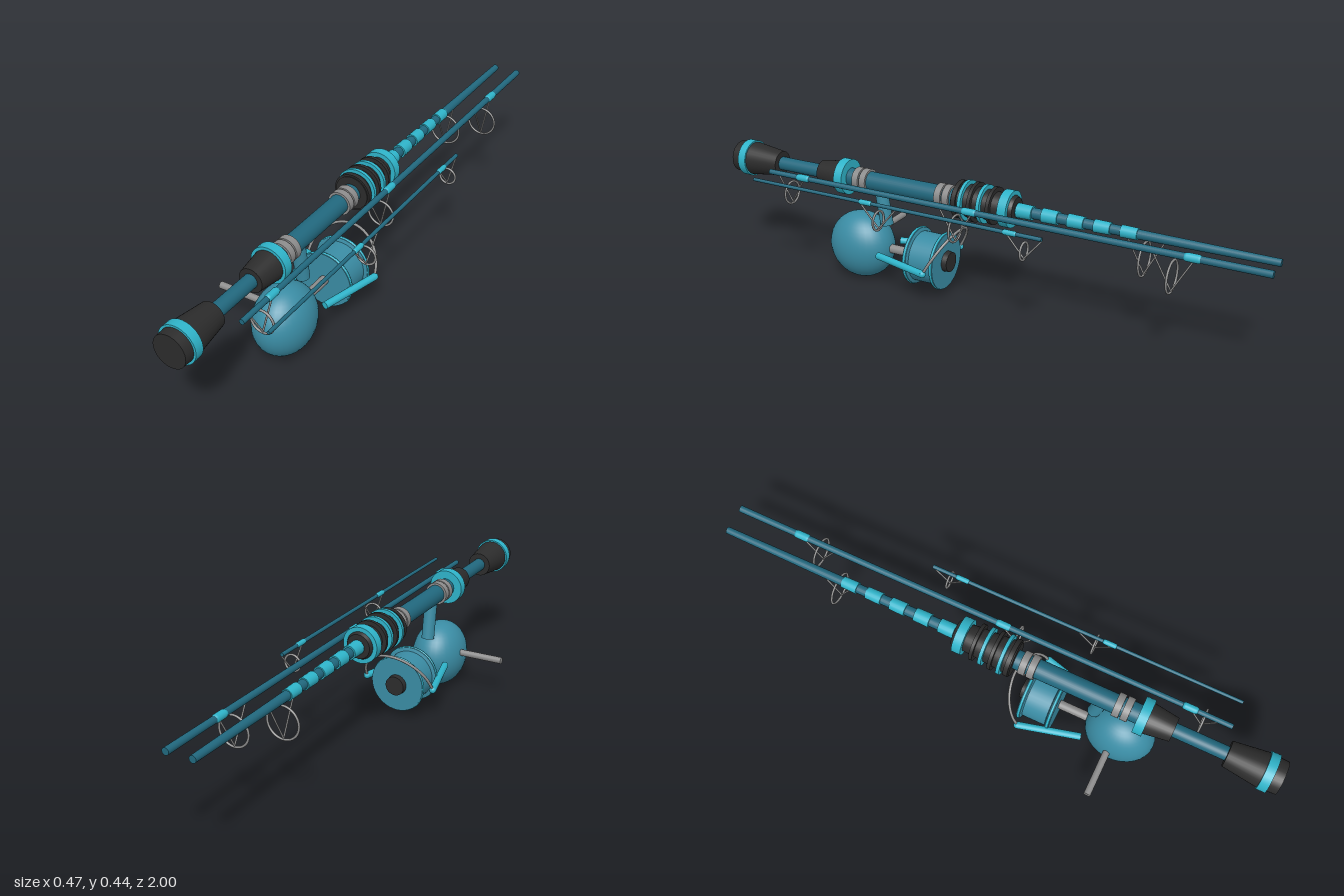
import * as THREE from 'three';

const mat = (color) => new THREE.MeshStandardMaterial({ color });
const BLUE = mat(0x3a8ca4), DARK = mat(0x21687e), CYAN = mat(0x2fb4ca), BLACK = mat(0x2c2c2c);
const GREY = mat(0xcccccc);
GREY.color.set(0x8c8c8c);
const X = 0.017, Y = 0.367; // axis of the main rod

export function createModel() {
  const root = new THREE.Group();
  root.name = 'fishingRodSet';

  const add = (parent, name, geometry, material) => {
    const mesh = new THREE.Mesh(geometry, material);
    mesh.name = name;
    parent.add(mesh);
    return mesh;
  };
  const group = (name, x, y) => {
    const g = new THREE.Group();
    g.name = name;
    g.position.set(x, y, 0);
    root.add(g);
    return g;
  };
  // round section along z, from z0 (radius r0) to z1 (radius r1), z0 > z1
  const section = (parent, name, z0, z1, r0, r1, material, sides = 32) => {
    const geo = new THREE.CylinderGeometry(r0, r1, z0 - z1, sides).rotateX(Math.PI / 2);
    geo.translate(0, 0, (z0 + z1) / 2);
    return add(parent, name, geo, material);
  };
  // straight bar between two points
  const bar = (parent, name, a, b, r, material, sides = 12) => {
    const p = new THREE.Vector3(...a), q = new THREE.Vector3(...b), d = q.clone().sub(p);
    const mesh = add(parent, name, new THREE.CylinderGeometry(r, r, d.length(), sides), material);
    mesh.position.copy(p).add(q).multiplyScalar(0.5);
    mesh.quaternion.setFromUnitVectors(new THREE.Vector3(0, 1, 0), d.normalize());
    return mesh;
  };
  // line guide: hanging ring held by a V of two struts
  const guide = (parent, z, r, top, span) => {
    const g = new THREE.Group();
    g.name = 'lineGuide';
    g.position.z = z;
    parent.add(g);
    const ring = add(g, 'guideRing', new THREE.TorusGeometry(r - 0.004, 0.004, 8, 32), GREY);
    ring.position.y = top - r;
    for (const s of [-1, 1]) {
      bar(g, 'guideStrut', [0, -0.006, s * span], [0, top - 2 * r + 0.008, 0], 0.003, GREY, 8);
    }
  };

  // main rod: blank and reel seat
  const rod = group('mainRod', X, Y);
  section(rod, 'rearBlank', 0.85, 0.5, 0.024, 0.024, DARK);
  section(rod, 'reelSeat', 0.53, 0.06, 0.033, 0.033, DARK);
  section(rod, 'frontBlank', 0.07, -1, 0.021, 0.012, DARK, 20);

  // rear grip and butt cap
  section(rod, 'buttCap', 1, 0.96, 0.056, 0.058, BLACK);
  section(rod, 'buttRing', 0.968, 0.937, 0.065, 0.065, CYAN);
  section(rod, 'rearGrip', 0.94, 0.815, 0.06, 0.044, BLACK);
  section(rod, 'middleGrip', 0.635, 0.54, 0.041, 0.054, BLACK);
  section(rod, 'middleRing', 0.548, 0.515, 0.063, 0.063, CYAN);

  // seat clamping rings
  for (const z of [0.475, 0.445, 0.145, 0.115]) {
    section(rod, 'clampRing', z + 0.012, z - 0.012, 0.041, 0.041, GREY);
  }

  // ribbed fore grip
  section(rod, 'foreGrip', 0.082, -0.1, 0.059, 0.046, BLACK);
  section(rod, 'foreGripCollar', 0.078, 0.062, 0.065, 0.065, BLACK);
  [0.045, 0.012, -0.022, -0.056].forEach((z, i) => {
    section(rod, 'gripRib', z + 0.006, z - 0.006, 0.07 - i * 0.002, 0.07 - i * 0.002, i % 2 ? BLACK : CYAN);
  });
  section(rod, 'foreGripRing', -0.092, -0.124, 0.063, 0.063, CYAN);
  section(rod, 'foreGripCap', -0.12, -0.136, 0.05, 0.042, BLACK);

  // thread wraps ahead of the grip
  for (let i = 0; i < 5; i++) {
    const z = -0.14 - i * 0.09, r = 0.025 - i * 0.0012;
    section(rod, 'threadWrap', z, z - 0.055, r, r - 0.001, CYAN, 20);
  }
  guide(rod, -0.58, 0.06, -0.018, 0.065);

  // spare rod sections lying beside the main rod
  const spare = (name, x, z0, z1, r0, r1, guides) => {
    const g = group(name, x, Y);
    section(g, 'blank', z0, z1, r0, r1, DARK, 16);
    for (const [z, r, span, wrapZ, wrapR] of guides) {
      guide(g, z, r, -0.018, span);
      const wrap = add(g, 'guideWrap', new THREE.CapsuleGeometry(wrapR, 0.035, 4, 16), CYAN);
      wrap.rotation.x = Math.PI / 2;
      wrap.position.z = wrapZ;
    }
  };
  spare('middleSection', 0.107, 0.8, -1, 0.009, 0.012,
    [[-0.7, 0.056, 0.065, -0.76, 0.014], [0.045, 0.05, 0.06, -0.007, 0.0125], [0.708, 0.044, 0.053, 0.655, 0.0125]]);
  spare('tipSection', 0.197, 0.8, -0.31, 0.006, 0.007,
    [[-0.25, 0.033, 0.06, -0.2, 0.009], [0.287, 0.037, 0.068, 0.335, 0.009]]);

  // reel
  const reel = group('reel', X, 0.125);
  const body = add(reel, 'reelBody', new THREE.SphereGeometry(1, 32, 24), BLUE);
  body.scale.set(0.097, 0.122, 0.123);
  body.position.set(0, -0.003, 0.477);
  bar(reel, 'reelFoot', [0, 0.09, 0.372], [0, 0.22, 0.392], 0.023, BLUE, 24);
  bar(reel, 'crankHandle', [-0.255, 0.017, 0.465], [-0.06, 0.017, 0.465], 0.012, GREY, 20);
  section(reel, 'driveShaft', 0.4, 0.2, 0.016, 0.016, GREY, 20);

  // spool with two flanges
  const spool = [[0, 0.252], [0.1, 0.252], [0.1, 0.238], [0.088, 0.234], [0.088, 0.15], [0.1, 0.146], [0.1, 0.133], [0, 0.133]];
  const corners = spool.slice(0, -1).map((p, i) => [p, spool[i + 1]]);
  const spoolGroup = new THREE.Group();
  spoolGroup.name = 'spool';
  reel.add(spoolGroup);
  for (const [a, b] of corners) {
    const strip = new THREE.LatheGeometry([b, a].map(([r, z]) => new THREE.Vector2(r, z)), 40);
    add(spoolGroup, 'spoolSurface', strip.rotateX(Math.PI / 2), BLUE);
  }
  for (const z of [0.245, 0.14]) {
    const rim = add(spoolGroup, 'spoolRim', new THREE.TorusGeometry(0.098, 0.005, 8, 40), CYAN);
    rim.position.z = z;
  }
  section(reel, 'dragKnob', 0.14, 0.114, 0.037, 0.035, BLACK);

  // bail arms and wire
  for (const s of [-1, 1]) {
    bar(reel, 'bailArm', [s * 0.075, 0, 0.365], [s * 0.131, 0, 0.152], 0.0125, CYAN, 16);
    const end = add(reel, 'bailArmEnd', new THREE.SphereGeometry(0.0125, 16, 12), CYAN);
    end.position.set(s * 0.131, 0, 0.152);
  }
  const wire = [];
  for (let i = 0; i <= 16; i++) {
    const a = (i / 16) * Math.PI;
    wire.push(new THREE.Vector3(0.13 * Math.cos(a), 0.125 * Math.sin(a), 0.152 - 0.07 * Math.sin(a)));
  }
  add(reel, 'bailWire', new THREE.TubeGeometry(new THREE.CatmullRomCurve3(wire), 48, 0.005, 8), GREY);

  return root;
}
